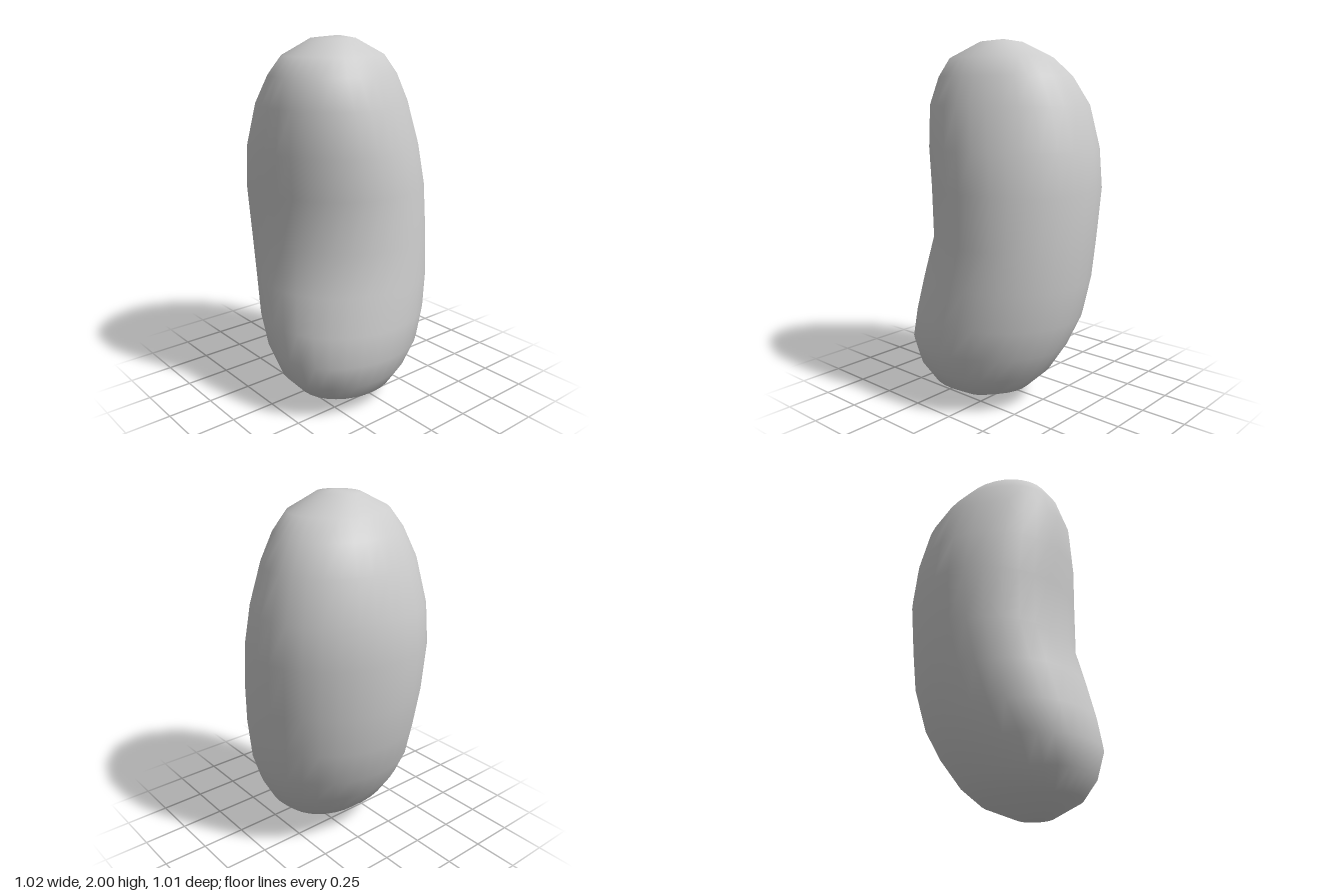
import * as THREE from 'three';

// Cross-sections from bottom to top: height, x and z limits of each oval,
// skew (widens it across the bend, negative along it) and lean (shifts its bulge across the bend)
const SECTIONS = [
  [0.02, -0.21, 0.01, 0.06, 0.25, 0, 0],
  [0.10, -0.38, 0.21, -0.10, 0.39, -0.04, 0],
  [0.20, -0.47, 0.31, -0.21, 0.455, -0.06, 0],
  [0.34, -0.515, 0.39, -0.31, 0.505, -0.05, 0],
  [0.50, -0.515, 0.45, -0.395, 0.50, -0.02, 0],
  [0.70, -0.49, 0.48, -0.455, 0.48, 0.02, 0],
  [0.92, -0.46, 0.50, -0.485, 0.45, 0.08, -0.01],
  [1.20, -0.475, 0.51, -0.505, 0.44, 0.05, -0.015],
  [1.42, -0.485, 0.485, -0.48, 0.42, 0, -0.015],
  [1.65, -0.465, 0.42, -0.42, 0.38, -0.07, -0.01],
  [1.80, -0.42, 0.335, -0.335, 0.315, -0.08, 0],
  [1.90, -0.35, 0.24, -0.245, 0.26, -0.06, 0],
  [1.985, -0.17, 0.06, -0.12, 0.13, 0, 0],
];
const BOTTOM = [-0.12, 0, 0.16];
const TOP = [-0.03, 2, 0.02];
const SIDES = 32;

function beanGeometry() {
  const positions = [...BOTTOM];
  for (const [y, x0, x1, z0, z1, skew, lean] of SECTIONS) {
    for (let i = 0; i < SIDES; i++) {
      const a = (i / SIDES) * Math.PI * 2;
      const c = Math.cos(a), s = Math.sin(a);
      const bulge = lean * Math.sin(2 * a) * (c + s);
      positions.push(
        (x0 + x1) / 2 + ((x1 - x0) / 2) * Math.cos(a - skew / 2) + bulge * c,
        y,
        (z0 + z1) / 2 + ((z1 - z0) / 2) * Math.sin(a + skew / 2) + bulge * s
      );
    }
  }
  positions.push(...TOP);

  // Skin the rings and close both ends with fans
  const index = [];
  const last = positions.length / 3 - 1;
  const at = (ring, i) => 1 + ring * SIDES + (i % SIDES);
  for (let i = 0; i < SIDES; i++) {
    index.push(0, at(0, i), at(0, i + 1));
    for (let r = 0; r < SECTIONS.length - 1; r++) {
      const a = at(r, i), b = at(r, i + 1), c = at(r + 1, i + 1), d = at(r + 1, i);
      index.push(a, d, b, b, d, c);
    }
    index.push(last, at(SECTIONS.length - 1, i + 1), at(SECTIONS.length - 1, i));
  }

  const geometry = new THREE.BufferGeometry();
  geometry.setAttribute('position', new THREE.Float32BufferAttribute(positions, 3));
  geometry.setIndex(index);
  geometry.computeVertexNormals();
  return geometry;
}

export function createModel() {
  const group = new THREE.Group();
  group.name = 'bean';
  const body = new THREE.Mesh(beanGeometry(), new THREE.MeshStandardMaterial({ color: 0xcccccc }));
  body.name = 'beanBody';
  group.add(body);
  return group;
}
